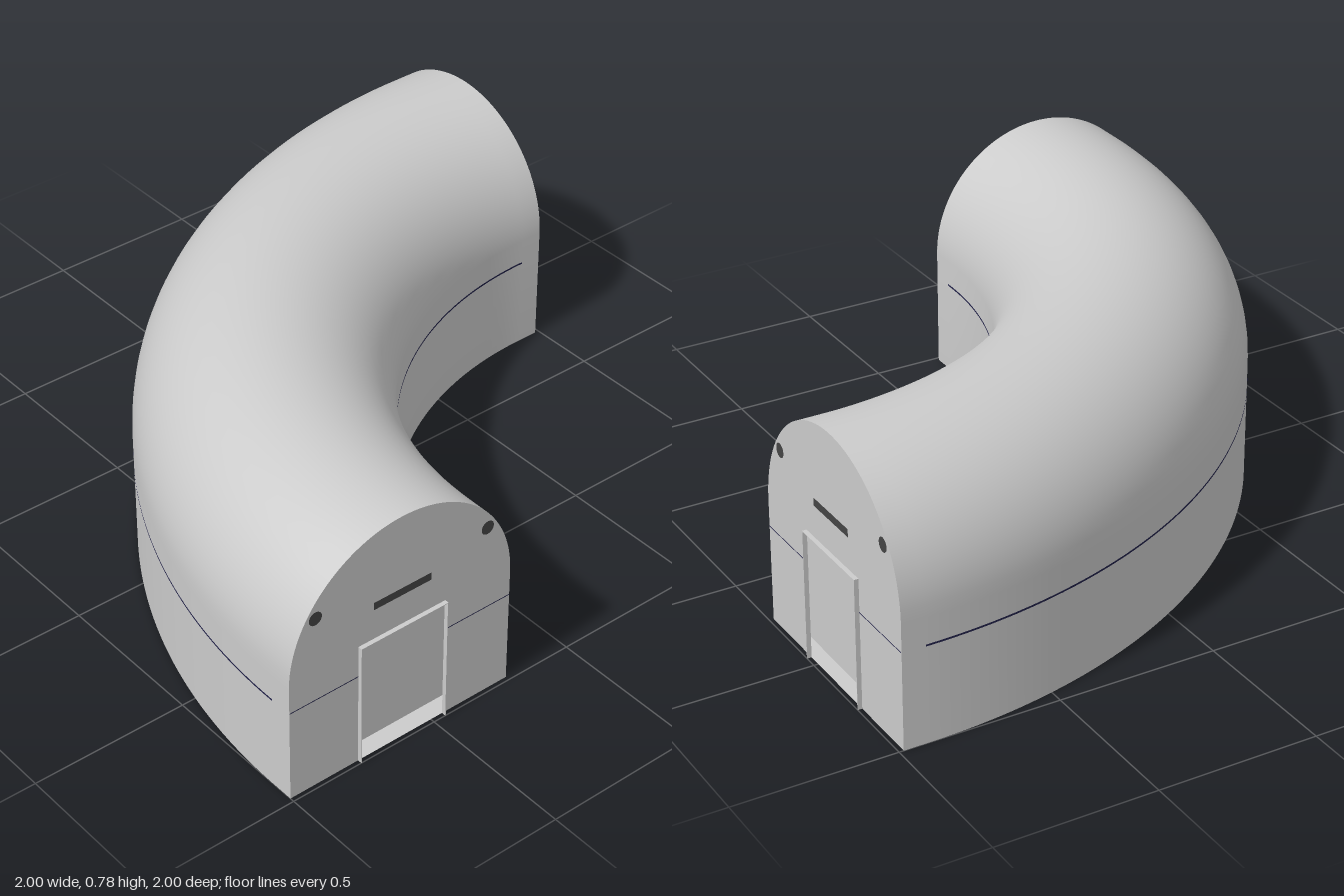
import * as THREE from 'three';
import { ParametricGeometry } from 'three/addons/geometries/ParametricGeometry.js';

const W = 0.39;            // half width of the tunnel
const END = 0.986;         // plane of both end walls
const S = 0.072;           // straight run before each end wall
const C = END - S;         // bend centre on x and z
const R = C + 1 - W;       // bend radius
const grey = new THREE.MeshStandardMaterial({ color: 0xcccccc, side: THREE.DoubleSide });
const dark = new THREE.MeshStandardMaterial({ color: 0x444444 });
const navy = new THREE.MeshStandardMaterial({ color: 0x22224a, side: THREE.DoubleSide });

function add(parent, name, geometry, material, x = 0, y = 0, z = 0) {
  const mesh = new THREE.Mesh(geometry, material);
  mesh.name = name;
  mesh.position.set(x, y, z);
  parent.add(mesh);
}

// Sweep a (radius, height) profile along straight run, quarter bend, straight run
function sweep(profile) {
  const steps = 72, spans = profile.length - 1;
  return new ParametricGeometry((u, v, target) => {
    const k = Math.min(Math.floor(v * spans), spans - 1), f = v * spans - k;
    const r = THREE.MathUtils.lerp(profile[k][0], profile[k + 1][0], f);
    const y = THREE.MathUtils.lerp(profile[k][1], profile[k + 1][1], f);
    const i = u * (steps + 2) - 1;
    const a = THREE.MathUtils.clamp(i / steps, 0, 1) * Math.PI / 2;
    target.set(
      C - r * Math.sin(a) + Math.max(0, -i) * S, y,
      C - r * Math.cos(a) + Math.max(0, i - steps) * S);
  }, steps + 2, spans);
}

// Thin line around the bend at a given radius
function seam(radius) {
  const points = [new THREE.Vector2(radius, 0.303), new THREE.Vector2(radius, 0.309)];
  return new THREE.LatheGeometry(points, 72, Math.PI, Math.PI / 2);
}

// End wall: arched plate with doorway, frame, raised door panel, vent and lamps
function createEnd(name) {
  const end = new THREE.Group();
  end.name = name;
  const half = 0.152, top = 0.41, gap = 0.067, depth = 1 - END;

  const wall = new THREE.Shape();
  wall.moveTo(half, 0);
  wall.lineTo(W, 0);
  wall.lineTo(W, W);
  wall.absarc(0, W, W, 0, Math.PI, false);
  wall.lineTo(-W, 0);
  wall.lineTo(-half, 0);
  wall.lineTo(-half, top);
  wall.lineTo(half, top);
  wall.closePath();
  add(end, 'endWall', new THREE.ShapeGeometry(wall, 48), grey);

  // Door stops short of the floor, leaving an open slot
  add(end, 'doorPanel', new THREE.PlaneGeometry(2 * half, top - gap), grey, 0, (top + gap) / 2, 0);
  for (const s of [-1, 1]) {
    add(end, 'doorJamb', new THREE.BoxGeometry(0.002, top, depth), grey, s * half, top / 2, depth / 2);
    add(end, 'lamp', new THREE.CircleGeometry(0.022, 24), dark, s * 0.3, 0.588, 0.001);
    add(end, 'wallSeam', new THREE.PlaneGeometry(W - half, 0.003), navy, s * (W + half) / 2, 0.306, 0.001);
  }
  add(end, 'doorHead', new THREE.BoxGeometry(2 * half, 0.002, depth), grey, 0, top - 0.001, depth / 2);
  add(end, 'vent', new THREE.PlaneGeometry(0.2, 0.025), dark, 0, 0.523, 0.001);
  return end;
}

export function createModel() {
  const model = new THREE.Group();
  model.name = 'curvedTunnel';

  // Straight walls below a half-round roof
  const section = [[R + W, 0]];
  for (let i = 0; i <= 32; i++) {
    const a = Math.PI * i / 32;
    section.push([R + W * Math.cos(a), W + W * Math.sin(a)]);
  }
  section.push([R - W, 0]);
  add(model, 'tunnelShell', sweep(section), grey);
  add(model, 'floor', sweep([[R - W, 0], [R + W, 0]]), grey);

  // Thin lines along both side walls
  add(model, 'outerSeam', seam(R + W + 0.001), navy, C, 0, C);
  add(model, 'innerSeam', seam(R - W - 0.001), navy, C, 0, C);

  const front = createEnd('frontEnd');
  front.position.set(W - 1, 0, END);
  const side = createEnd('sideEnd');
  side.position.set(END, 0, W - 1);
  side.rotation.y = Math.PI / 2;
  model.add(front, side);
  return model;
}
